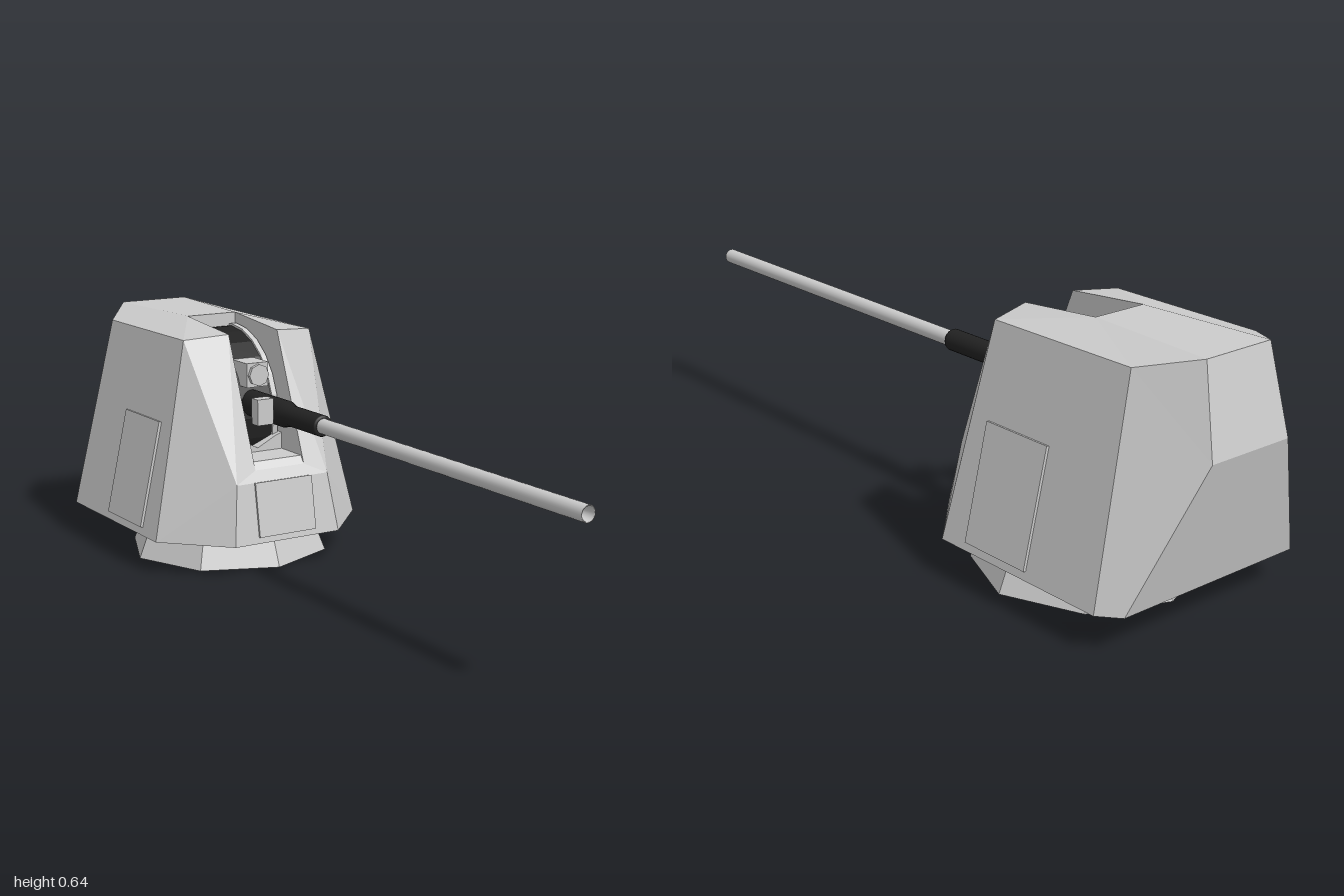
import * as THREE from 'three';

const grey = () => new THREE.MeshStandardMaterial({ color: 0xcccccc, flatShading: true, side: THREE.DoubleSide });
const smoothGrey = new THREE.MeshStandardMaterial({ color: 0xcccccc, side: THREE.DoubleSide });
const dark = new THREE.MeshStandardMaterial({ color: 0x222222 });
const BORE_Y = 0.43, RING_Z = -0.52;

// Flat panels as triangle fans, each turned to face away from (or towards) a centre
function panels(faces, centre, sign = 1) {
  const out = [];
  const n = new THREE.Vector3();
  for (const face of faces) {
    const p = face.map((v) => new THREE.Vector3(...v));
    for (let i = 1; i < p.length - 1; i++) {
      const tri = [p[0], p[i], p[i + 1]];
      n.crossVectors(tri[1].clone().sub(tri[0]), tri[2].clone().sub(tri[0]));
      if (n.dot(tri[0].clone().sub(centre)) * sign < 0) tri.reverse();
      tri.forEach((v) => out.push(v.x, v.y, v.z));
    }
  }
  const g = new THREE.BufferGeometry();
  g.setAttribute('position', new THREE.Float32BufferAttribute(out, 3));
  g.computeVertexNormals();
  return g;
}

export function createModel() {
  const model = new THREE.Group();
  const add = (name, geometry, material, x = 0, y = 0, z = 0) => {
    const m = new THREE.Mesh(geometry, material);
    m.name = name;
    m.position.set(x, y, z);
    model.add(m);
    return m;
  };
  const shellMat = grey();
  const mir = ([x, y, z]) => [-x, y, z];
  const both = (f) => [f, f.map(mir)];
  const across = (a, b) => [a, b, mir(b), mir(a)];

  // Gun house corners, left half
  const frontLow = [0.16, 0.09, -0.195], sideFrontLow = [0.313, 0.09, -0.355];
  const sideBackLow = [0.313, 0.09, -0.86], backLow = [0.27, 0.09, -0.91];
  const frontMid = [0.14, 0.25, -0.22], backMid = [0.12, 0.43, -1.0];
  const frontTop = [0.195, 0.615, -0.4], sideBackTop = [0.195, 0.615, -0.83];
  const backTop = [0.1, 0.645, -0.952];
  const slotFront = [0.075, 0.625, -0.37], slotBack = [0.075, 0.645, -0.6];
  const slotLow = [0.075, 0.28, -0.235], slotLowBack = [0.075, 0.3, -0.6];
  const centre = new THREE.Vector3(0, 0.3, -0.55);
  add('gunHouse', panels([
    ...both([frontMid, frontLow, sideFrontLow, frontTop]),
    ...both([sideFrontLow, sideBackLow, sideBackTop, frontTop]),
    ...both([backMid, backTop, sideBackTop, sideBackLow, backLow]),
    ...both([frontMid, frontTop, slotFront, slotLow]),
    ...both([frontTop, slotBack, slotFront]),
    ...both([frontTop, sideBackTop, slotBack]),
    ...both([sideBackTop, backTop, slotBack]),
    across(frontLow, frontMid), across(frontMid, slotLow), across(slotBack, backTop),
    across(backTop, backMid), across(backMid, backLow),
    across(frontLow, sideFrontLow), across(sideFrontLow, sideBackLow), across(sideBackLow, backLow),
  ], centre), shellMat);

  // Gun slot lining
  const lip = [0.075, 0.3, -0.25];
  add('gunSlot', panels([
    ...both([slotFront, slotBack, slotLowBack, lip, slotLow]),
    across(slotBack, slotLowBack), across(lip, slotLowBack), across(slotLow, lip),
  ], new THREE.Vector3(0, 0.5, -0.42), 1).scale(1, 1, 1), shellMat);

  // V-shaped sill under the gun shield
  const v = new THREE.Shape([[-0.075, 0.29], [0.075, 0.29], [0.075, 0.345], [0.055, 0.338],
    [0, 0.31], [-0.055, 0.338], [-0.075, 0.345]].map((p) => new THREE.Vector2(...p)));
  add('slotSill', new THREE.ExtrudeGeometry(v, { depth: 0.06, bevelEnabled: false }), shellMat, 0, 0, -0.41);

  // Rotating shield with a pale rim each side
  const drum = (r, w) => new THREE.CylinderGeometry(r, r, w, 24).rotateZ(Math.PI / 2);
  const darkFlat = dark.clone();
  darkFlat.flatShading = true;
  add('gunShield', drum(0.22, 0.11), darkFlat, 0, 0.39, -0.585);
  for (const s of [-1, 1]) add('shieldRim', drum(0.226, 0.016), shellMat, s * 0.063, 0.39, -0.585);

  // Barrel with open muzzle and tapered bore
  const lathe = (pts, seg) =>
    new THREE.LatheGeometry(pts.map((p) => new THREE.Vector2(...p)), seg).rotateX(Math.PI / 2);
  add('barrel', lathe([[0.02, -0.1], [0.02, 1], [0.017, 1], [0.004, 0.9], [0, 0.9]], 24), smoothGrey, 0, BORE_Y, 0);
  add('barrelSleeve', lathe([[0.036, -0.42], [0.036, -0.2], [0.028, -0.17], [0.028, -0.022],
    [0.026, -0.018], [0.019, -0.018]], 24), dark, 0, BORE_Y, 0);

  // Sight camera above the barrel and box beside it
  add('cameraHousing', new THREE.BoxGeometry(0.066, 0.066, 0.08), shellMat, 0, 0.512, -0.388);
  add('cameraLens', new THREE.CylinderGeometry(0.03, 0.03, 0.012, 8).rotateX(Math.PI / 2),
    shellMat, 0, 0.512, -0.344);
  add('sightBox', new THREE.BoxGeometry(0.047, 0.069, 0.032), shellMat, -0.06, 0.441, -0.221);

  // Hatches
  add('frontHatch', new THREE.BoxGeometry(0.174, 0.146, 0.012), shellMat, 0, 0.178, -0.209).rotation.x = -0.155;
  for (const s of [-1, 1]) {
    const hatch = add('sideHatch', new THREE.BoxGeometry(0.014, 0.29, 0.2), shellMat, s * 0.277, 0.2525, -0.54);
    hatch.rotation.z = s * 0.221;
  }

  // Tapered neck inside an open octagonal base ring
  add('turretNeck', new THREE.CylinderGeometry(0.262, 0.15, 0.076, 24), shellMat, 0, 0.053, RING_Z);
  add('baseRing', new THREE.CylinderGeometry(0.253, 0.28, 0.067, 8, 1, true), shellMat, 0, 0.0335, RING_Z);

  return model;
}
